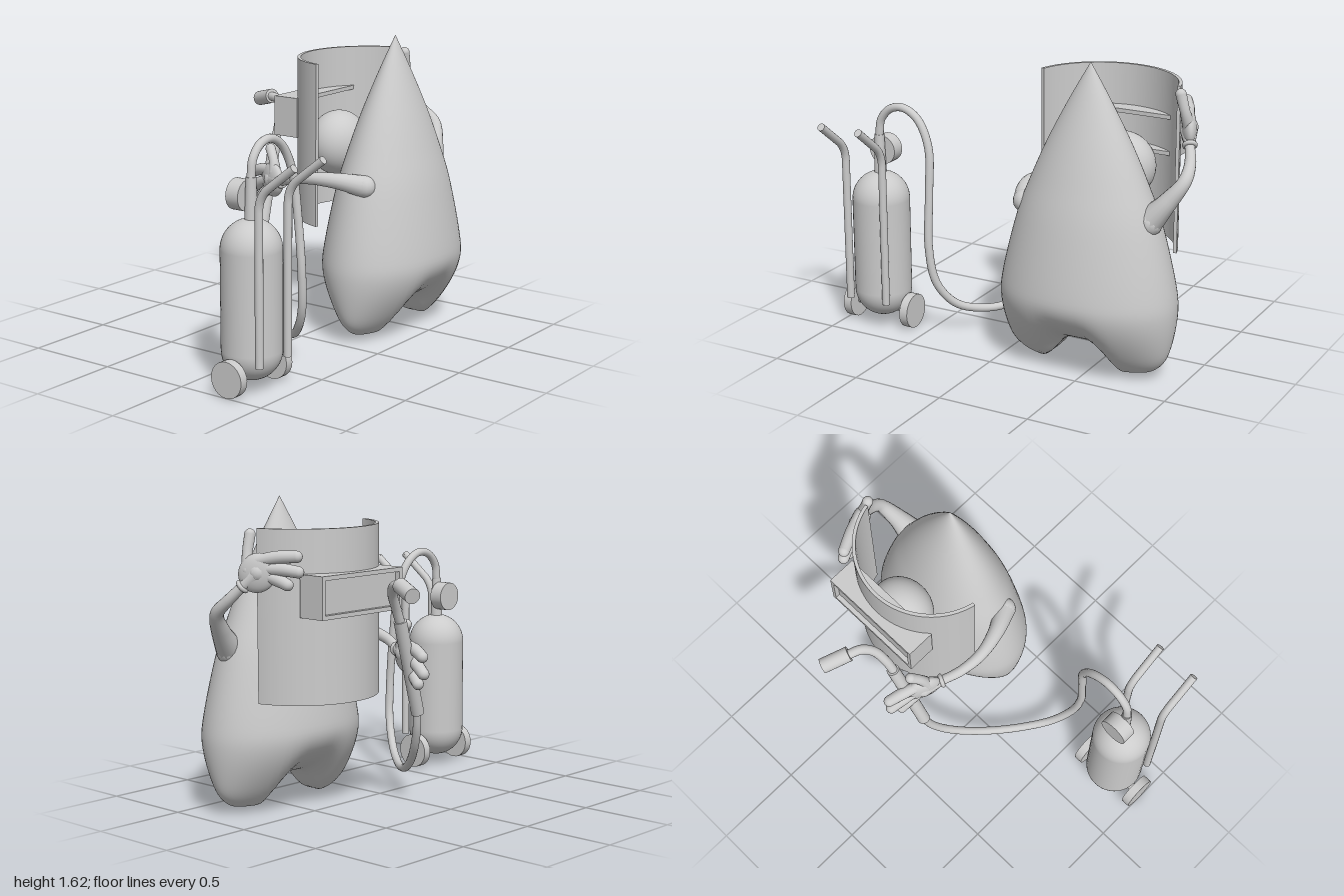
import * as THREE from 'three';
import { mergeVertices } from 'three/addons/utils/BufferGeometryUtils.js';

const mat = new THREE.MeshStandardMaterial({ color: 0xcccccc });
const matDouble = new THREE.MeshStandardMaterial({ color: 0xcccccc, side: THREE.DoubleSide });
const V = (p) => new THREE.Vector3(...p);

function add(parent, name, geometry, pos = [0, 0, 0], material = mat) {
  const mesh = new THREE.Mesh(geometry, material);
  mesh.name = name;
  mesh.position.set(...pos);
  parent.add(mesh);
  return mesh;
}

// Smooth tube through points, its radius running through a list, with rounded ends
function limb(parent, name, pts, radii, segs = 32, sides = 16) {
  const group = new THREE.Group();
  group.name = name;
  const curve = new THREE.CatmullRomCurve3(pts.map(V), false, 'centripetal');
  const geo = new THREE.TubeGeometry(curve, segs, 1, sides);
  const pos = geo.attributes.position;
  const v = new THREE.Vector3();
  for (let i = 0; i <= segs; i++) {
    const c = curve.getPointAt(i / segs);
    const t = (i / segs) * (radii.length - 1);
    const k = Math.min(Math.floor(t), radii.length - 2);
    const r = THREE.MathUtils.lerp(radii[k], radii[k + 1], t - k);
    for (let j = 0; j <= sides; j++) {
      const n = i * (sides + 1) + j;
      v.fromBufferAttribute(pos, n).sub(c).multiplyScalar(r).add(c);
      pos.setXYZ(n, v.x, v.y, v.z);
    }
  }
  add(group, name + 'Tube', geo);
  add(group, name + 'Start', new THREE.SphereGeometry(radii[0], sides, 10), pts[0]);
  add(group, name + 'End', new THREE.SphereGeometry(radii.at(-1), sides, 10), pts.at(-1));
  parent.add(group);
}

// Straight cylinder between two points
function rod(parent, name, a, b, r) {
  const A = V(a), d = V(b).sub(A);
  const mesh = add(parent, name, new THREE.CylinderGeometry(r, r, d.length(), 24));
  mesh.position.copy(A).addScaledVector(d, 0.5);
  mesh.quaternion.setFromUnitVectors(new THREE.Vector3(0, 1, 0), d.normalize());
}

// Pear body: elliptical lathe, with the underside lifted between two legs
function bodyGeometry() {
  const profile = [[0, 0.03], [0.15, 0.03], [0.3, 0.03], [0.385, 0.055], [0.45, 0.14], [0.483, 0.33], [0.468, 0.5],
    [0.39, 0.81], [0.31, 1.02], [0.22, 1.22], [0.107, 1.435], [0, 1.62]];
  const pts = new THREE.SplineCurve(profile.map((p) => new THREE.Vector2(...p))).getPoints(70);
  pts.forEach((p) => { p.x = Math.max(p.x, 0); });
  let geo = new THREE.LatheGeometry(pts, 72);
  const pos = geo.attributes.position;
  for (let i = 0; i < pos.count; i++) {
    const y = pos.getY(i), z = pos.getZ(i);
    const ratio = 0.25 + 0.43 * Math.sin(THREE.MathUtils.clamp((y - 0.03) / 0.42, 0, 1) * Math.PI / 2);
    const gap = 1 - THREE.MathUtils.smoothstep(Math.abs(z), 0.06, 0.24);
    const low = Math.max(0, 1 - y / 0.5) ** 2;
    pos.setXYZ(i, pos.getX(i) * ratio * (1 - 0.2 * gap * low), y + 0.165 * gap * low, z);
  }
  geo.deleteAttribute('uv');
  geo.deleteAttribute('normal');
  geo = mergeVertices(geo, 1e-4);
  geo.computeVertexNormals();
  return geo;
}

// Flat palm with three fingers, a thumb and a wrist cuff
function hand(parent, name, wrist, palm, tips, thumb) {
  const group = new THREE.Group();
  group.name = name;
  const W = V(wrist), P = V(palm);
  const u = P.clone().sub(W).normalize();
  const n = u.clone().cross(new THREE.Vector3(0, 1, 0)).normalize();
  const up = n.clone().cross(u);
  const basis = new THREE.Matrix4().makeBasis(u, up, n);
  const palmMesh = add(group, 'palm', new THREE.SphereGeometry(1, 28, 20), palm);
  palmMesh.scale.set(0.105, 0.095, 0.04);
  palmMesh.quaternion.setFromRotationMatrix(basis);
  const cuff = add(group, 'cuff', new THREE.TorusGeometry(0.027, 0.012, 10, 24), wrist);
  cuff.quaternion.setFromUnitVectors(new THREE.Vector3(0, 0, 1), u);
  tips.forEach((tip, i) => {
    const root = P.clone().addScaledVector(up, 0.05 * (1 - i)).addScaledVector(u, 0.03);
    const mid = root.clone().lerp(V(tip), 0.55).addScaledVector(up, 0.008);
    limb(group, 'finger' + (i + 1), [root.toArray(), mid.toArray(), tip], [0.03, 0.033, 0.03], 14);
  });
  const root = P.clone().addScaledVector(u, -0.03).addScaledVector(up, 0.04);
  const mid = root.clone().lerp(V(thumb), 0.5).addScaledVector(u, -0.012);
  limb(group, 'thumb', [root.toArray(), mid.toArray(), thumb], [0.035, 0.026, 0.028], 14);
  limb(group, 'heel', [wrist, palm], [0.026, 0.05], 8);
  parent.add(group);
}

function createFigure() {
  const g = new THREE.Group();
  g.name = 'figure';
  add(g, 'body', bodyGeometry(), [0.28, 0, -0.462]);
  const nose = add(g, 'nose', new THREE.SphereGeometry(0.18, 32, 24), [-0.09, 0.99, -0.465]);
  nose.scale.x = 0.88;

  limb(g, 'frontArm', [[0.33, 0.86, -0.115], [0.2, 0.885, -0.05], [0.05, 0.885, -0.015], [-0.08, 0.86, -0.03],
    [-0.19, 0.825, -0.075]], [0.06, 0.044, 0.033, 0.028, 0.025]);
  hand(g, 'frontHand', [-0.19, 0.825, -0.075], [-0.285, 0.815, -0.12],
    [[-0.465, 0.825, -0.19], [-0.465, 0.735, -0.18], [-0.41, 0.675, -0.16]], [-0.33, 0.975, -0.16]);

  limb(g, 'backArm', [[0.3, 0.85, -0.8], [0.27, 0.96, -0.89], [0.225, 1.06, -0.955], [0.15, 1.13, -0.95],
    [0.08, 1.205, -0.915]], [0.075, 0.052, 0.037, 0.03, 0.025]);
  hand(g, 'backHand', [0.08, 1.205, -0.915], [0.01, 1.275, -0.875],
    [[-0.17, 1.36, -0.785], [-0.18, 1.285, -0.785], [-0.13, 1.22, -0.81]], [0.08, 1.46, -0.86]);
  return g;
}

function createShield() {
  const g = new THREE.Group();
  g.name = 'shield';
  // Curved plate
  const half = 1.35, arc = new THREE.Shape();
  arc.absarc(0, 0, 0.402, Math.PI - half, Math.PI + half, false);
  arc.absarc(0, 0, 0.384, Math.PI + half, Math.PI - half, true);
  const plate = new THREE.ExtrudeGeometry(arc, { depth: 0.88, bevelEnabled: false, curveSegments: 48 });
  plate.rotateX(-Math.PI / 2);
  add(g, 'plate', plate, [0.137, 0.61, -0.453], matDouble);
  // Box frame with a recessed panel, open face outward
  const w = 0.29, h = 0.108, rim = 0.022;
  const frame = new THREE.Shape([[-w, -h], [w, -h], [w, h], [-w, h]].map((p) => new THREE.Vector2(...p)));
  const a = w - rim, b = h - rim;
  frame.holes.push(new THREE.Path([[-a, -b], [-a, b], [a, b], [a, -b]].map((p) => new THREE.Vector2(...p))));
  const box = new THREE.ExtrudeGeometry(frame, { depth: 0.155, bevelEnabled: false });
  box.rotateY(-Math.PI / 2);
  add(g, 'windowFrame', box, [-0.155, 1.162, -0.46], matDouble);
  add(g, 'windowPanel', new THREE.BoxGeometry(0.02, b * 2, a * 2), [-0.275, 1.162, -0.46]);
  return g;
}

function createSprayer() {
  const g = new THREE.Group();
  g.name = 'sprayer';
  const cx = 0.287, cz = 0.795;
  const tank = new THREE.CapsuleGeometry(0.155, 0.51, 16, 40);
  add(g, 'tank', tank, [cx, 0.46, cz]);
  add(g, 'neck', new THREE.CylinderGeometry(0.026, 0.034, 0.23, 24), [cx, 0.96, cz]);
  const gauge = add(g, 'gauge', new THREE.CylinderGeometry(0.079, 0.079, 0.075, 32), [0.228, 0.98, cz]);
  gauge.rotation.z = Math.PI / 2;

  // Wheels and axle
  rod(g, 'axle', [cx, 0.1, 0.6], [cx, 0.1, 0.99], 0.022);
  for (const z of [0.613, 0.977]) rod(g, 'wheel', [cx, 0.097, z - 0.024], [cx, 0.097, z + 0.024], 0.094);

  // Pair of bent handles
  for (const z of [0.688, 0.918]) {
    const path = new THREE.CurvePath();
    const p = [[0.428, 0.165, z], [0.43, 0.95, z], [0.432, 1.015, z], [0.48, 1.06, z], [0.64, 1.185, z]].map(V);
    path.add(new THREE.LineCurve3(p[0], p[1]));
    path.add(new THREE.QuadraticBezierCurve3(p[1], p[2], p[3]));
    path.add(new THREE.LineCurve3(p[3], p[4]));
    add(g, 'handle', new THREE.TubeGeometry(path, 60, 0.021, 16));
    rod(g, 'handleTip', [0.632, 1.179, z], [0.64, 1.185, z], 0.021);
    rod(g, 'handleFoot', [0.428, 0.165, z], [0.428, 0.17, z], 0.021);
  }

  // Hose from the neck to the grip
  limb(g, 'hose', [[cx, 1.07, cz], [0.287, 1.16, 0.78], [0.287, 1.225, 0.72], [0.288, 1.24, 0.64], [0.29, 1.19, 0.55],
    [0.3, 1.05, 0.48], [0.325, 0.8, 0.465], [0.345, 0.5, 0.46], [0.32, 0.3, 0.43], [0.23, 0.165, 0.36],
    [0.09, 0.112, 0.25], [-0.04, 0.125, 0.15], [-0.16, 0.19, 0.06], [-0.25, 0.28, -0.01], [-0.31, 0.4, -0.055],
    [-0.335, 0.52, -0.08]], [0.022, 0.022], 140, 14);

  // Grip, bent pipe and nozzle
  rod(g, 'grip', [-0.335, 0.5, -0.075], [-0.368, 1.005, -0.25], 0.034);
  limb(g, 'pipe', [[-0.365, 0.98, -0.24], [-0.375, 1.08, -0.29], [-0.4, 1.16, -0.345], [-0.45, 1.205, -0.385],
    [-0.53, 1.21, -0.415]], [0.025, 0.025], 32);
  rod(g, 'nozzle', [-0.51, 1.213, -0.41], [-0.645, 1.177, -0.47], 0.04);
  return g;
}

export function createModel() {
  const model = new THREE.Group();
  model.name = 'sprayerFigure';
  model.add(createFigure(), createShield(), createSprayer());
  return model;
}
